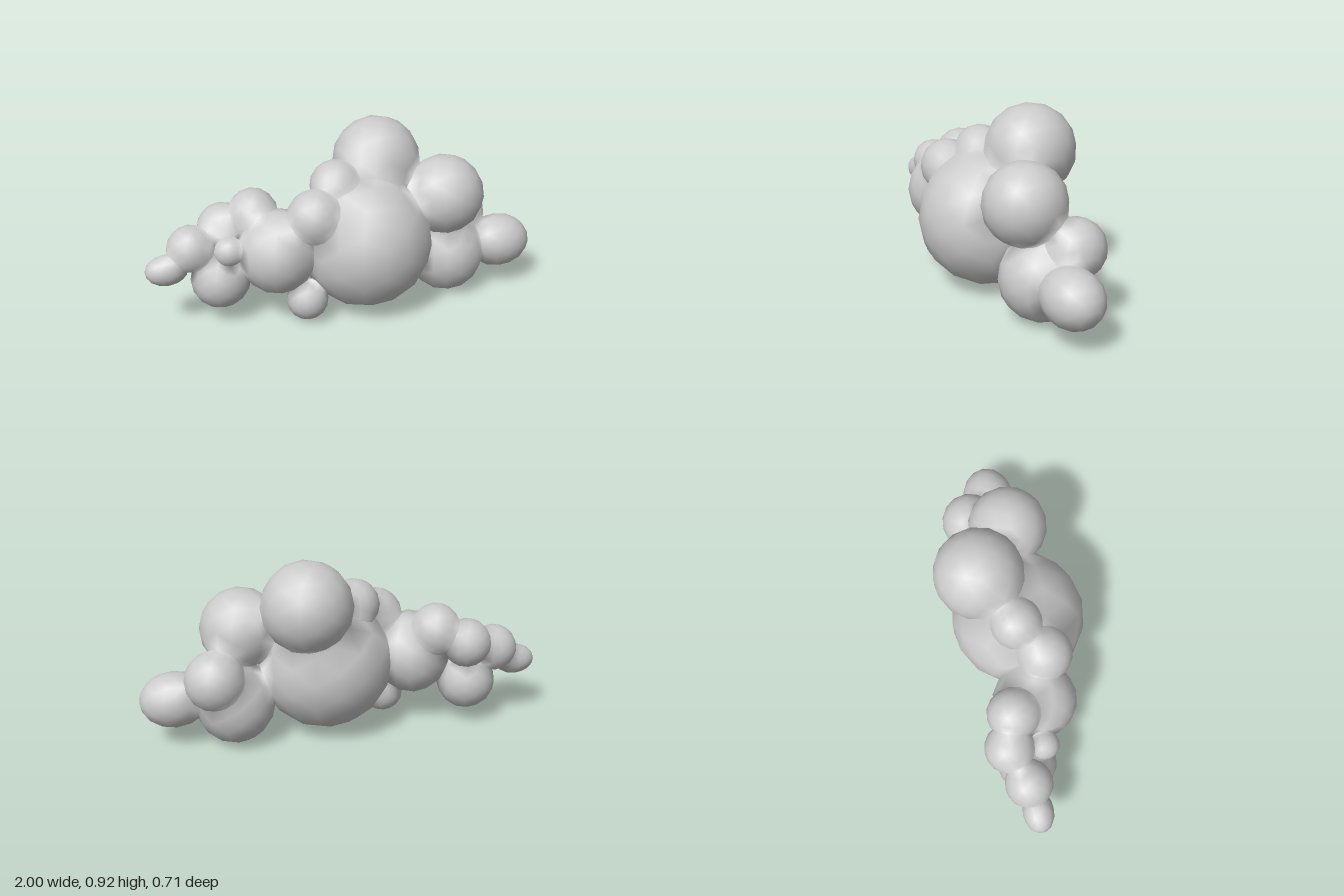
import * as THREE from 'three';

// Each puff: name, centre x, y, z, radius, stretch along x
const PUFFS = [
  ['corePuff', 0.08, 0.36, 0.025, 0.337, 1],
  ['crownPuff', 0.2, 0.71, -0.14, 0.222, 1],
  ['upperLeftPuff', 0.49, 0.56, 0.055, 0.2, 1],
  ['lowerLeftPuff', 0.54, 0.21, -0.015, 0.21, 0.95],
  ['backLeftPuff', 0.645, 0.37, -0.115, 0.147, 1],
  ['leftTipPuff', 0.83, 0.235, 0.015, 0.138, 1.24],
  ['innerRightPuff', -0.37, 0.365, 0.02, 0.21, 0.93],
  ['rightShoulderPuff', -0.2, 0.55, 0.1, 0.137, 1],
  ['crownSidePuff', -0.06, 0.655, -0.01, 0.127, 1],
  ['bottomPuff', -0.245, 0.12, 0.1, 0.103, 1],
  ['lowerRightPuff', -0.635, 0.22, -0.07, 0.148, 1],
  ['smallFrontPuff', -0.605, 0.4, 0.02, 0.072, 1],
  ['upperRightPuff', -0.455, 0.52, -0.1, 0.132, 0.95],
  ['backRightPuff', -0.6, 0.455, -0.15, 0.122, 1],
  ['outerRightPuff', -0.77, 0.39, -0.09, 0.117, 1],
  ['rightTipPuff', -0.895, 0.305, -0.07, 0.076, 1.38],
].map(([name, x, y, z, r, stretch]) => ({ name, centre: new THREE.Vector3(x, y, z), r, stretch }));

const BLEND = 0.022;

// Normal of the whole cloud near a point: nearby puffs share their directions,
// which softens the shading in the valleys between them
function cloudNormal(point, own) {
  const sum = new THREE.Vector3();
  for (const puff of PUFFS) {
    const d = point.clone().sub(puff.centre);
    d.x /= puff.stretch;
    const distance = puff === own ? 0 : Math.max(0, d.length() - puff.r);
    d.x /= puff.stretch;
    sum.addScaledVector(d.normalize(), Math.exp(-distance / BLEND));
  }
  return sum.normalize();
}

function makePuff(puff, material) {
  const geometry = new THREE.IcosahedronGeometry(puff.r, 2);
  geometry.scale(puff.stretch, 1, 1);
  const pos = geometry.attributes.position;
  const normal = geometry.attributes.normal;
  const p = new THREE.Vector3();
  for (let i = 0; i < pos.count; i++) {
    p.fromBufferAttribute(pos, i).add(puff.centre);
    const n = cloudNormal(p, puff);
    normal.setXYZ(i, n.x, n.y, n.z);
  }
  const mesh = new THREE.Mesh(geometry, material);
  mesh.name = puff.name;
  mesh.position.copy(puff.centre);
  return mesh;
}

export function createModel() {
  const group = new THREE.Group();
  group.name = 'cloud';
  const material = new THREE.MeshStandardMaterial({ color: 0xcccccc });
  for (const puff of PUFFS) group.add(makePuff(puff, material));
  return group;
}
